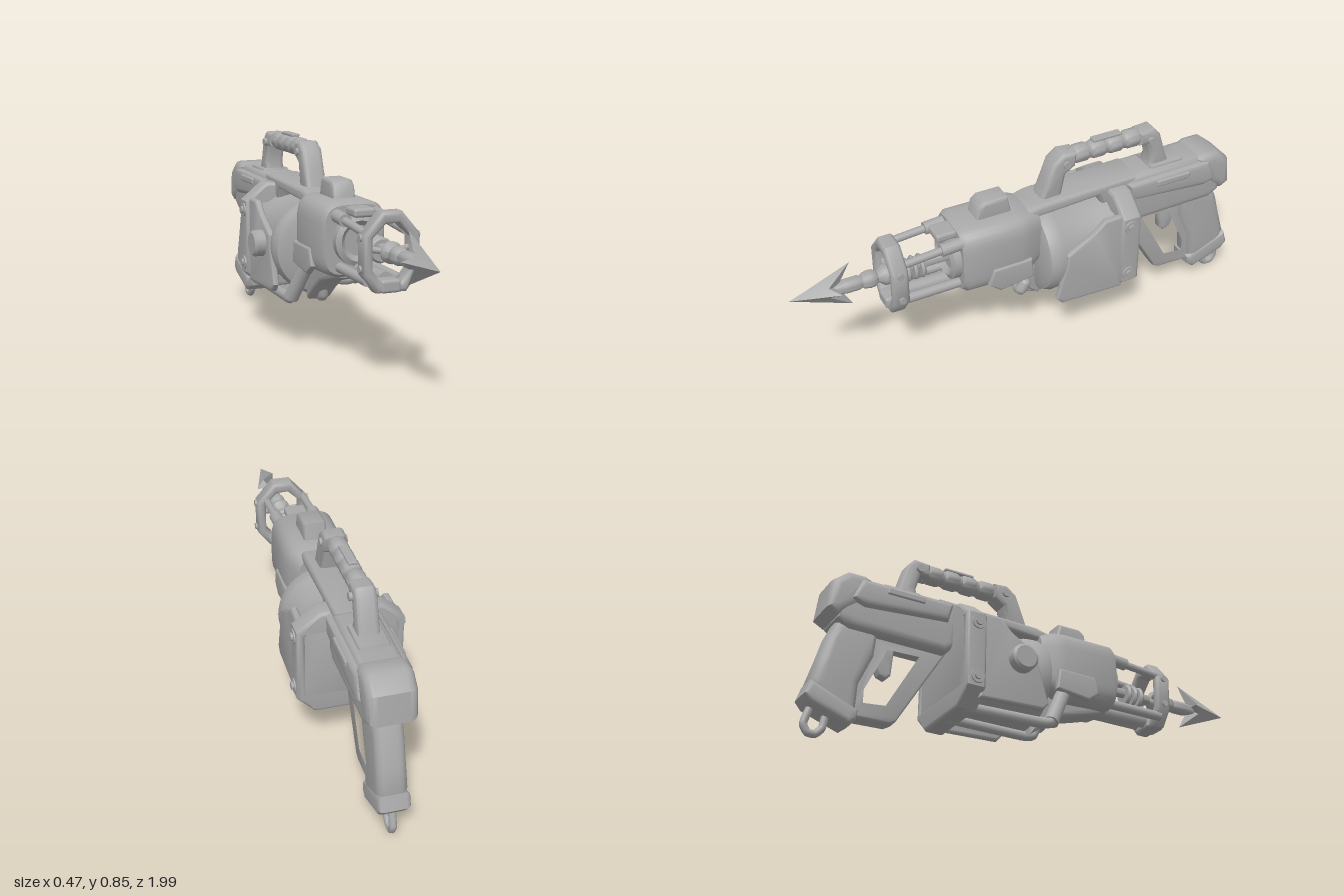
import * as THREE from 'three';
import { toCreasedNormals } from 'three/addons/utils/BufferGeometryUtils.js';
import { RoundedBoxGeometry } from 'three/addons/geometries/RoundedBoxGeometry.js';

const V = (p) => new THREE.Vector3(...p);
const CX = 0.01; // centre plane of the body

export function createModel() {
  const model = new THREE.Group();
  const grey = new THREE.MeshStandardMaterial({ color: 0xa8a8a8 });
  grey.name = 'plain grey';

  function add(name, geo, pos = [0, 0, 0]) {
    const m = new THREE.Mesh(geo, grey);
    m.name = name;
    m.position.set(...pos);
    model.add(m);
    return m;
  }
  const shapeOf = (pts) => new THREE.Shape(pts.map((p) => new THREE.Vector2(...p)));

  // bevelled slab: outline in x,y with thickness along z, centred on z = 0
  function slab(pts, depth, bevel, hole) {
    const s = shapeOf(pts);
    if (hole) s.holes.push(shapeOf(hole));
    const g = new THREE.ExtrudeGeometry(s, {
      depth: depth - 2 * bevel, bevelSize: bevel, bevelThickness: bevel,
      bevelOffset: -bevel, bevelSegments: 4, curveSegments: 8,
    });
    g.translate(0, 0, bevel - depth / 2);
    return toCreasedNormals(g, 0.75);
  }
  // side outline in z,y with thickness along x
  const sideSlab = (name, pts, width, bevel, x = CX, hole) =>
    add(name, slab(pts, width, bevel, hole).rotateY(-Math.PI / 2), [x, 0, 0]);
  // outline in x,y placed between two z values
  const frontSlab = (name, pts, z0, z1, bevel, hole) =>
    add(name, slab(pts, z1 - z0, bevel, hole), [0, 0, (z0 + z1) / 2]);

  function rod(name, a, b, r0, r1 = r0, seg = 16) {
    const d = V(b).sub(V(a));
    const m = add(name, new THREE.CylinderGeometry(r1, r0, d.length(), seg));
    m.position.copy(V(a)).addScaledVector(d, 0.5);
    m.quaternion.setFromUnitVectors(new THREE.Vector3(0, 1, 0), d.normalize());
    return m;
  }
  const pipe = (name, pts, r) => {
    const curve = new THREE.CatmullRomCurve3(pts.map(V), false, 'catmullrom', 0.25);
    add(name, new THREE.TubeGeometry(curve, 40, r, 12));
    for (const p of [pts[0], pts[pts.length - 1]]) add(name + 'End', new THREE.SphereGeometry(r, 12, 8), p);
  };
  const box = (name, w, h, d, r, pos) => add(name, new RoundedBoxGeometry(w, h, d, 3, r), pos);
  // turned part along +z; profile of [radius, z]
  function turned(name, profile, pos, seg = 24) {
    const g = new THREE.LatheGeometry(profile.map((p) => new THREE.Vector2(...p)), seg);
    return add(name, toCreasedNormals(g.rotateX(Math.PI / 2), 0.7), pos);
  }
  // loft of superellipse sections [z, cx, cy, halfX, halfY], ordered back to front
  function loft(name, sections, power, n = 32) {
    const pos = [], idx = [];
    const bend = (v) => Math.sign(v) * Math.abs(v) ** (2 / power);
    for (const [z, cx, cy, hx, hy] of sections)
      for (let j = 0; j < n; j++) {
        const a = (j / n) * Math.PI * 2;
        pos.push(cx + hx * bend(Math.cos(a)), cy + hy * bend(Math.sin(a)), z);
      }
    const last = (sections.length - 1) * n, c0 = sections.length * n;
    for (const s of [sections[0], sections[sections.length - 1]]) pos.push(s[1], s[2], s[0]);
    for (let j = 0; j < n; j++) {
      const k = (j + 1) % n;
      for (let i = 0; i < last; i += n) idx.push(i + j, i + k, i + n + k, i + j, i + n + k, i + n + j);
      idx.push(c0, k, j, c0 + 1, last + j, last + k);
    }
    const g = new THREE.BufferGeometry();
    g.setAttribute('position', new THREE.Float32BufferAttribute(pos, 3));
    g.setIndex(idx);
    return add(name, toCreasedNormals(g, 0.7));
  }

  // harpoon head: four swept barbs with valleys between them
  const hp = [[0, 0, 0.99], [0, 0, 0.8]], hi = [];
  for (let i = 0; i < 8; i++) {
    const a = (i * Math.PI) / 4, upright = i % 4 === 2;
    const r = i % 2 ? 0.032 : upright ? 0.1 : 0.057;
    hp.push([r * Math.cos(a), r * Math.sin(a), i % 2 ? 0.84 : upright ? 0.745 : 0.8]);
    const p = 2 + i, q = 2 + ((i + 1) % 8);
    hi.push(0, p, q, 1, q, p);
  }
  const head = new THREE.BufferGeometry();
  head.setAttribute('position', new THREE.Float32BufferAttribute(hp.flat(), 3));
  head.setIndex(hi);
  add('harpoonHead', toCreasedNormals(head, 0.3), [0.03, 0.515, 0]);

  // harpoon shaft with collars, and the spring discs
  turned('harpoonShaft', [[0, 0.25], [0.02, 0.25], [0.02, 0.58], [0.042, 0.6], [0.042, 0.615], [0.022, 0.64],
    [0.034, 0.655], [0.036, 0.675], [0.03, 0.7], [0.024, 0.705], [0.029, 0.72], [0.029, 0.77], [0.02, 0.82], [0, 0.83]].reverse().map(([r, z]) => [r, z]).reverse(),
  [0.03, 0.508, 0]);
  for (const z of [0.46, 0.49, 0.52]) turned('springDisc',
    [[0, -0.009], [0.042, -0.009], [0.049, 0], [0.042, 0.009], [0, 0.009]], [0.03, 0.5, z]);

  // front ring with clamps and bolts
  frontSlab('frontRing', [[-0.03, 0.36], [0.09, 0.36], [0.142, 0.43], [0.142, 0.575], [0.07, 0.66], [-0.01, 0.66], [-0.082, 0.575], [-0.082, 0.43]],
    0.55, 0.62, 0.015, [[-0.01, 0.4], [0.07, 0.4], [0.105, 0.445], [0.105, 0.565], [0.055, 0.615], [0.005, 0.615], [-0.045, 0.565], [-0.045, 0.445]]);
  box('ringClamp', 0.08, 0.05, 0.08, 0.012, [0.025, 0.385, 0.585]);
  for (const x of [-0.085, 0.145]) for (const y of [0.45, 0.565])
    rod('ringBolt', [x - 0.005, y, 0.585], [x + 0.005, y, 0.585], 0.014);
  for (const [x, y] of [[-0.02, 0.53], [0.08, 0.53]]) rod('ringSpoke', [x * 1.5 - 0.01, y - 0.01, 0.585], [0.03, 0.508, 0.6], 0.012);

  // rods joining the ring to the housing
  for (const x of [-0.062, 0.1]) {
    rod('upperRod', [x, 0.58, 0.58], [x, 0.605, 0.28], 0.016);
    rod('upperRodSleeve', [x, 0.596, 0.4], [x, 0.605, 0.28], 0.026);
    rod('lowerRod', [x * 0.8, 0.4, 0.58], [x * 0.8, 0.4, 0.28], 0.02);
  }
  rod('lowerTube', [0.025, 0.4, 0.57], [0.02, 0.39, 0.28], 0.03);
  box('topNub', 0.09, 0.035, 0.12, 0.012, [0.02, 0.62, 0.34]);

  // front housing, its side panels, top block and chin
  loft('frontHousing', [[-0.03, CX, 0.51, 0.1, 0.12], [0.03, CX, 0.505, 0.125, 0.145], [0.07, CX, 0.5, 0.134, 0.153],
    [0.3, CX, 0.505, 0.134, 0.148], [0.32, CX, 0.505, 0.122, 0.136]], 4);
  turned('housingMouth', [[0, -0.05], [0.1, -0.05], [0.1, 0.03], [0.08, 0.04], [0.06, 0.02], [0, 0.02]], [0.02, 0.505, 0.32]);
  for (const s of [-1, 1]) sideSlab('housingPanel',
    [[0.2, 0.46], [0.03, 0.46], [0.02, 0.37], [0.17, 0.35], [0.22, 0.39]], 0.03, 0.01, CX + s * 0.127);
  sideSlab('topBlock', [[0.23, 0.63], [0.215, 0.7], [0.19, 0.72], [0.09, 0.72], [0.07, 0.63]], 0.095, 0.015);
  sideSlab('chin', [[0.3, 0.4], [0.29, 0.35], [0.19, 0.32], [0.1, 0.295], [0.03, 0.25], [-0.05, 0.19], [-0.05, 0.4]], 0.11, 0.02);
  pipe('elbowPipe', [[0.03, 0.295, 0.05], [0.09, 0.29, 0.065], [0.117, 0.297, 0.065], [0.12, 0.325, 0.05]], 0.024);
  rod('feedTube', [-0.085, 0.37, 0.07], [-0.125, 0.215, -0.01], 0.03);
  pipe('feedPipe', [[-0.115, 0.25, 0.005], [-0.127, 0.21, -0.02], [-0.12, 0.205, -0.08], [-0.11, 0.2, -0.38]], 0.022);
  pipe('lowerPipe', [[0.01, 0.25, 0.0], [0.015, 0.21, -0.01], [0.02, 0.2, -0.06], [0.02, 0.2, -0.38]], 0.02);

  // drum
  turned('drum', [[0, -0.4], [0.185, -0.4], [0.19, -0.36], [0.18, -0.3], [0.18, -0.14], [0.192, -0.1], [0.195, -0.06],
    [0.185, -0.035], [0.16, -0.025], [0, -0.02]], [CX, 0.41, 0], 48);

  // cage around the back of the drum: rim, rear wall, side shields, bolts
  const rim = (k) => [[-0.13, 0.185 + k], [0.15, 0.185 + k], [0.222 - k, 0.255 + k * 0.6], [0.222 - k, 0.565 - k * 0.6],
    [0.13, 0.64 - k], [-0.11, 0.64 - k], [-0.202 + k, 0.565 - k * 0.6], [-0.202 + k, 0.255 + k * 0.6]];
  frontSlab('cageRim', rim(0), -0.43, -0.34, 0.016, rim(0.036));
  frontSlab('cageWall', rim(0.015), -0.425, -0.395, 0.01);
  for (const s of [-1, 1]) {
    sideSlab('sideShield', [[-0.36, 0.58], [-0.27, 0.58], [-0.22, 0.53], [-0.1, 0.46], [-0.1, 0.42], [-0.055, 0.26], [-0.08, 0.23], [-0.36, 0.22]],
      0.03, 0.012, CX + s * 0.183);
    for (const y of [0.295, 0.525]) {
      rod('cageBoss', [CX + s * 0.19, y, -0.38], [CX + s * 0.217, y, -0.38], 0.035, 0.028);
      rod('cageBolt', [CX + s * 0.2, y, -0.38], [CX + s * 0.226, y, -0.38], 0.016);
    }
  }
  rod('sideKnob', [-0.16, 0.415, -0.185], [-0.225, 0.415, -0.185], 0.055, 0.055, 24);
  rod('sideKnobFace', [-0.225, 0.415, -0.185], [-0.235, 0.415, -0.185], 0.055, 0.045, 24);

  // top spine and receiver
  sideSlab('spine', [[0.03, 0.6], [0.02, 0.64], [-0.04, 0.655], [-0.48, 0.665], [-0.48, 0.57], [-0.32, 0.57], [-0.3, 0.615]], 0.16, 0.018);
  sideSlab('receiver', [[-0.41, 0.645], [-0.46, 0.662], [-0.84, 0.662], [-0.91, 0.58], [-0.9, 0.47], [-0.85, 0.44], [-0.45, 0.435], [-0.41, 0.47]], 0.17, 0.03);
  sideSlab('receiverShell', [[-0.43, 0.64], [-0.82, 0.645], [-0.86, 0.55], [-0.8, 0.53], [-0.45, 0.56]], 0.214, 0.025);
  sideSlab('receiverRail', [[-0.55, 0.64], [-0.56, 0.672], [-0.71, 0.672], [-0.72, 0.64]], 0.12, 0.01);
  for (const s of [-1, 1]) box('receiverInset', 0.02, 0.03, 0.16, 0.008, [CX + s * 0.103, 0.615, -0.64]);
  sideSlab('rearCap', [[-0.77, 0.655], [-0.8, 0.67], [-0.87, 0.67], [-0.93, 0.62], [-0.945, 0.5], [-0.9, 0.475], [-0.82, 0.54]], 0.19, 0.035);

  // carrying handle
  sideSlab('handleFrontFoot', [[-0.055, 0.64], [-0.085, 0.72], [-0.115, 0.8], [-0.16, 0.835], [-0.22, 0.83], [-0.215, 0.77], [-0.17, 0.74], [-0.15, 0.64]], 0.09, 0.02);
  sideSlab('handleRearFoot', [[-0.51, 0.83], [-0.58, 0.835], [-0.61, 0.8], [-0.64, 0.7], [-0.665, 0.64], [-0.55, 0.64], [-0.57, 0.7], [-0.55, 0.77], [-0.51, 0.77]], 0.085, 0.02);
  rod('handleBar', [CX, 0.8, -0.2], [CX, 0.8, -0.53], 0.033);
  for (let i = 0; i < 4; i++) {
    const z = -0.25 - i * 0.078;
    turned('handleSleeve', [[0, -0.034], [0.033, -0.034], [0.039, -0.02], [0.039, 0.02], [0.033, 0.034], [0, 0.034]], [CX, 0.8, z]);
  }
  box('handleTopPlate', 0.035, 0.012, 0.13, 0.004, [CX, 0.842, -0.37]);
  for (const z of [-0.17, -0.56]) rod('handleBolt', [CX - 0.055, 0.79, z], [CX + 0.055, 0.79, z], 0.016);

  // grip, butt cap and lanyard loop
  sideSlab('grip', [[-0.72, 0.47], [-0.89, 0.47], [-0.92, 0.4], [-0.945, 0.31], [-0.975, 0.21], [-0.96, 0.16], [-0.81, 0.09], [-0.79, 0.13], [-0.785, 0.23], [-0.73, 0.36]], 0.115, 0.035);
  sideSlab('buttCap', [[-0.785, 0.125], [-0.975, 0.205], [-0.995, 0.145], [-0.97, 0.115], [-0.82, 0.06], [-0.79, 0.085]], 0.125, 0.02);
  pipe('lanyardLoop', [[CX, 0.1, -0.89], [CX, 0.045, -0.9], [CX, 0.017, -0.925], [CX, 0.018, -0.955], [CX, 0.05, -0.972], [CX, 0.12, -0.95]], 0.015);

  // trigger guard and trigger
  sideSlab('triggerGuard', [[-0.43, 0.45], [-0.625, 0.12], [-0.65, 0.105], [-0.82, 0.1], [-0.81, 0.22], [-0.74, 0.38], [-0.74, 0.45]], 0.075, 0.012, CX,
    [[-0.53, 0.415], [-0.665, 0.16], [-0.775, 0.15], [-0.775, 0.22], [-0.7, 0.38], [-0.69, 0.415]]);
  sideSlab('trigger', [[-0.64, 0.43], [-0.645, 0.37], [-0.65, 0.31], [-0.67, 0.29], [-0.7, 0.3], [-0.73, 0.36], [-0.72, 0.43]], 0.045, 0.012);

  return model;
}
